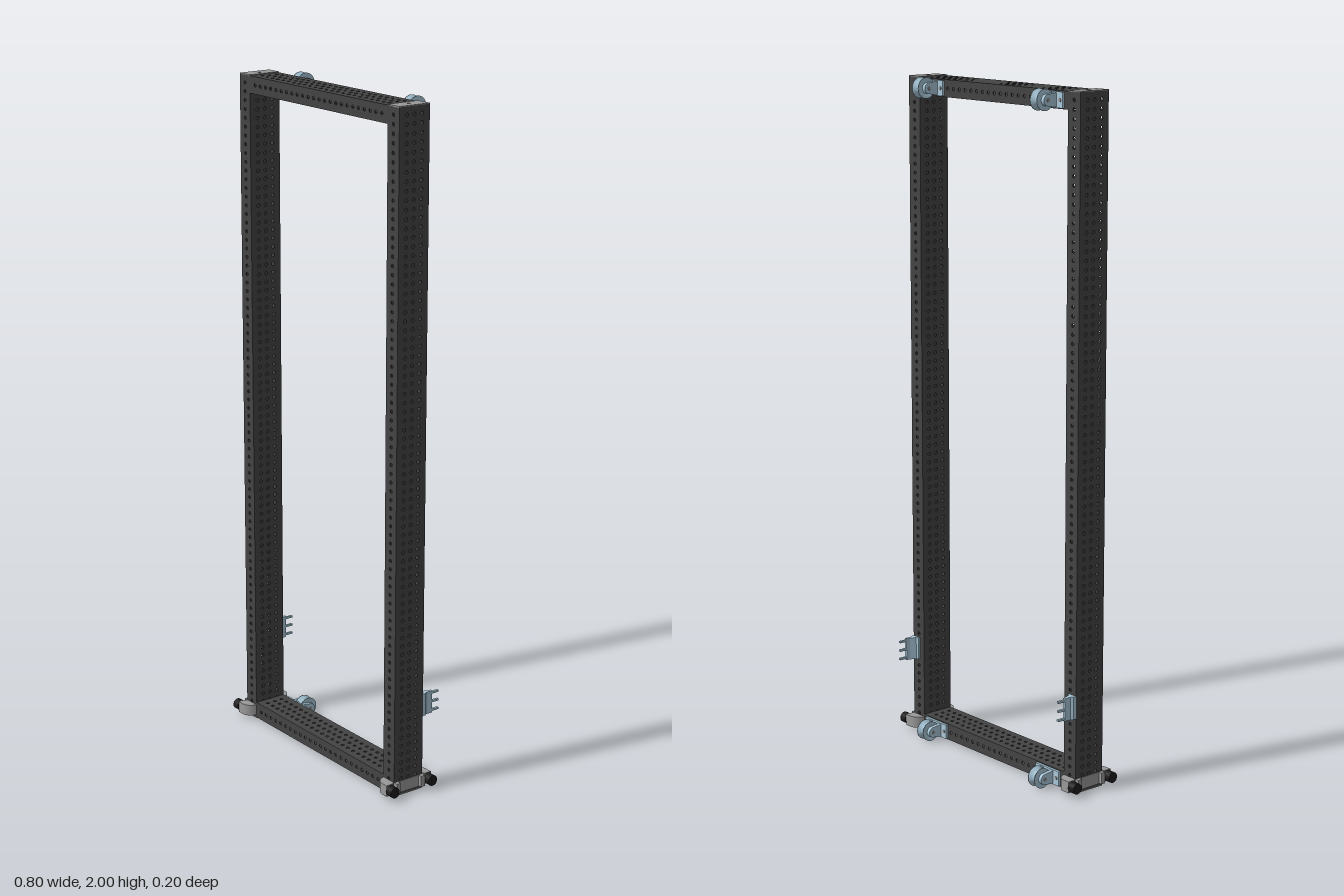
import * as THREE from 'three';
import { mergeGeometries } from 'three/addons/utils/BufferGeometryUtils.js';

const mat = (color) => new THREE.MeshStandardMaterial({ color });
const dark = mat(0x444444), steel = mat(0x999999), blue = mat(0xa9c8da), black = mat(0x1c1c1c);

const PITCH = 0.0256, HOLE = 0.0053, WALL = 0.003;
const ZC = 0.0165, DEPTH = 0.103, W = 0.05, BACK = ZC - DEPTH / 2;
const LOW = 0.03, HIGH = 1.97;

function add(parent, name, geometry, material, x = 0, y = 0, z = 0) {
  const mesh = new THREE.Mesh(geometry, material);
  mesh.name = name;
  mesh.position.set(x, y, z);
  parent.add(mesh);
  return mesh;
}

const extrude = (shape, depth, curveSegments = 12) =>
  new THREE.ExtrudeGeometry(shape, { depth, bevelEnabled: false, curveSegments });

function polygon(points) {
  return new THREE.Shape(points.map(([x, y]) => new THREE.Vector2(x, y)));
}

function circleHole(shape, x, y, r) {
  const path = new THREE.Path();
  path.absarc(x, y, r, 0, Math.PI * 2, true);
  shape.holes.push(path);
}

// Flat strip along y with rows of drilled holes, centred on the origin
function perforatedWall(width, length, rows, count) {
  const w = width / 2, l = length / 2;
  const shape = polygon([[-w, -l], [w, -l], [w, l], [-w, l]]);
  for (let r = 0; r < rows; r++)
    for (let i = 0; i < count; i++)
      circleHole(shape, (r - (rows - 1) / 2) * PITCH, (i - (count - 1) / 2) * PITCH, HOLE);
  return extrude(shape, WALL, 5).translate(0, 0, -WALL / 2);
}

// Hollow rectangular tube along y: one hole row front and back, three on the sides
function tube(length, count) {
  const front = perforatedWall(W, length, 1, count);
  const side = perforatedWall(DEPTH - 2 * WALL, length, 3, count).rotateY(Math.PI / 2);
  const dz = (DEPTH - WALL) / 2, dx = (W - WALL) / 2;
  return mergeGeometries([
    front.clone().translate(0, 0, dz), front.translate(0, 0, -dz),
    side.clone().translate(dx, 0, 0), side.translate(-dx, 0, 0),
  ]);
}

// Extrude a (backward, up) outline across x, centred
const acrossX = (shape, width) =>
  extrude(shape, width).rotateY(Math.PI / 2).translate(-width / 2, 0, 0);

// Grooved wheel between two cheeks on a base plate, facing -z
function pulley() {
  const g = new THREE.Group();
  g.name = 'pulley';
  const c = 0.038;
  add(g, 'pulleyBase', new THREE.BoxGeometry(0.1, 0.044, 0.008), blue, 0, 0, -0.004);
  const cheek = new THREE.Shape();
  cheek.moveTo(0.004, -0.02);
  cheek.lineTo(c, -0.016);
  cheek.absarc(c, 0, 0.016, -Math.PI / 2, Math.PI / 2, false);
  cheek.lineTo(0.004, 0.02);
  const cheekGeo = acrossX(cheek, 0.011);
  const bolt = new THREE.CylinderGeometry(0.005, 0.005, 0.003, 12).rotateZ(Math.PI / 2);
  for (const s of [-1, 1]) {
    add(g, 'pulleyCheek', cheekGeo, blue, s * 0.0215);
    add(g, 'axleHead', bolt, steel, s * 0.028, 0, -c);
    add(g, 'baseBolt', new THREE.CylinderGeometry(0.005, 0.005, 0.003, 12).rotateX(Math.PI / 2),
      steel, s * 0.04, 0, -0.009);
  }
  const profile = [[0.006, -0.015], [0.03, -0.015], [0.03, -0.012], [0.022, -0.007], [0.019, 0],
    [0.022, 0.007], [0.03, 0.012], [0.03, 0.015], [0.006, 0.015], [0.006, -0.015]];
  const wheel = new THREE.LatheGeometry(profile.map(([r, y]) => new THREE.Vector2(r, y)), 32);
  add(g, 'pulleyWheel', wheel.rotateZ(Math.PI / 2), blue, 0, 0, -c);
  add(g, 'axle', new THREE.CylinderGeometry(0.006, 0.006, 0.05, 12).rotateZ(Math.PI / 2), steel, 0, 0, -c);
  return g;
}

// Flared holder with three prongs on the back of an upright
function prongHolder() {
  const g = new THREE.Group();
  g.name = 'prongHolder';
  const body = polygon([[-0.03, 0], [0, 0], [0, 0.01], [-0.005, 0.016], [-0.005, 0.038],
    [-0.013, 0.038], [-0.015, 0.026], [-0.022, 0.008], [-0.03, 0.006]]);
  add(g, 'holderBody', extrude(body, 0.068).rotateX(-Math.PI / 2), blue, 0, -0.034);
  for (const y of [-0.027, 0, 0.027])
    add(g, 'prong', new THREE.BoxGeometry(0.007, 0.006, 0.026), blue, -0.009, y, -0.049);
  return g;
}

// Clamp under an upright with curved arms and two rollers, at +x
function foot() {
  const g = new THREE.Group();
  g.name = 'foot';
  const arm = new THREE.Shape();
  arm.moveTo(-0.025, 0);
  arm.quadraticCurveTo(-0.018, 0.028, 0.006, 0.03);
  arm.lineTo(0.028, 0.03);
  arm.lineTo(0.028, 0.008);
  arm.lineTo(0.022, 0);
  const armGeo = extrude(arm, 0.034).rotateX(Math.PI / 2).translate(0, 0.017, 0);
  const roller = new THREE.CylinderGeometry(0.016, 0.016, 0.024, 24).rotateZ(Math.PI / 2);
  const pin = new THREE.CylinderGeometry(0.006, 0.006, 0.012, 12).rotateZ(Math.PI / 2);
  for (const s of [-1, 1]) {
    const half = new THREE.Group();
    half.name = 'footArm';
    half.scale.z = s;
    add(half, 'arm', armGeo, steel, 0, 0, DEPTH / 2);
    add(half, 'roller', roller, black, 0.041, 0, DEPTH / 2 + 0.0175);
    add(half, 'rollerPin', pin, steel, 0.029, 0, DEPTH / 2 + 0.0175);
    add(half, 'rib', new THREE.BoxGeometry(0.014, 0.034, 0.014), steel, 0.031, 0, DEPTH / 2 - 0.007);
    g.add(half);
  }
  add(g, 'sidePlate', new THREE.BoxGeometry(0.003, 0.034, DEPTH), steel, 0.0255);
  return g;
}

export function createModel() {
  const model = new THREE.Group();

  // Perforated frame
  const upright = tube(1.99, 77);
  const bar = tube(0.64, 24).rotateZ(Math.PI / 2);
  for (const y of [LOW, HIGH]) add(model, y === LOW ? 'bottomBar' : 'topBar', bar, dark, 0, y, ZC);

  // End cap with a centre hole
  const cap = polygon([[-W / 2, -DEPTH / 2], [W / 2, -DEPTH / 2], [W / 2, DEPTH / 2], [-W / 2, DEPTH / 2]]);
  circleHole(cap, 0, 0, HOLE);
  const capGeo = extrude(cap, 0.004).rotateX(-Math.PI / 2);

  for (const s of [-1, 1]) {
    const side = new THREE.Group();
    side.name = s > 0 ? 'leftSide' : 'rightSide';
    side.scale.x = s;
    add(side, 'upright', upright, dark, 0.345, 1, ZC);
    add(side, 'topCap', capGeo, steel, 0.345, 1.9935, ZC);
    add(side, 'bottomCap', capGeo, steel, 0.345, 0.0025, ZC);

    for (const y of [LOW, HIGH]) {
      const p = pulley();
      p.position.set(0.256, y, BACK);
      side.add(p);
    }
    const holder = prongHolder();
    holder.position.set(0.37, 0.262, BACK);
    side.add(holder);

    const f = foot();
    f.position.set(0.345, LOW, ZC);
    side.add(f);
    model.add(side);
  }
  return model;
}
